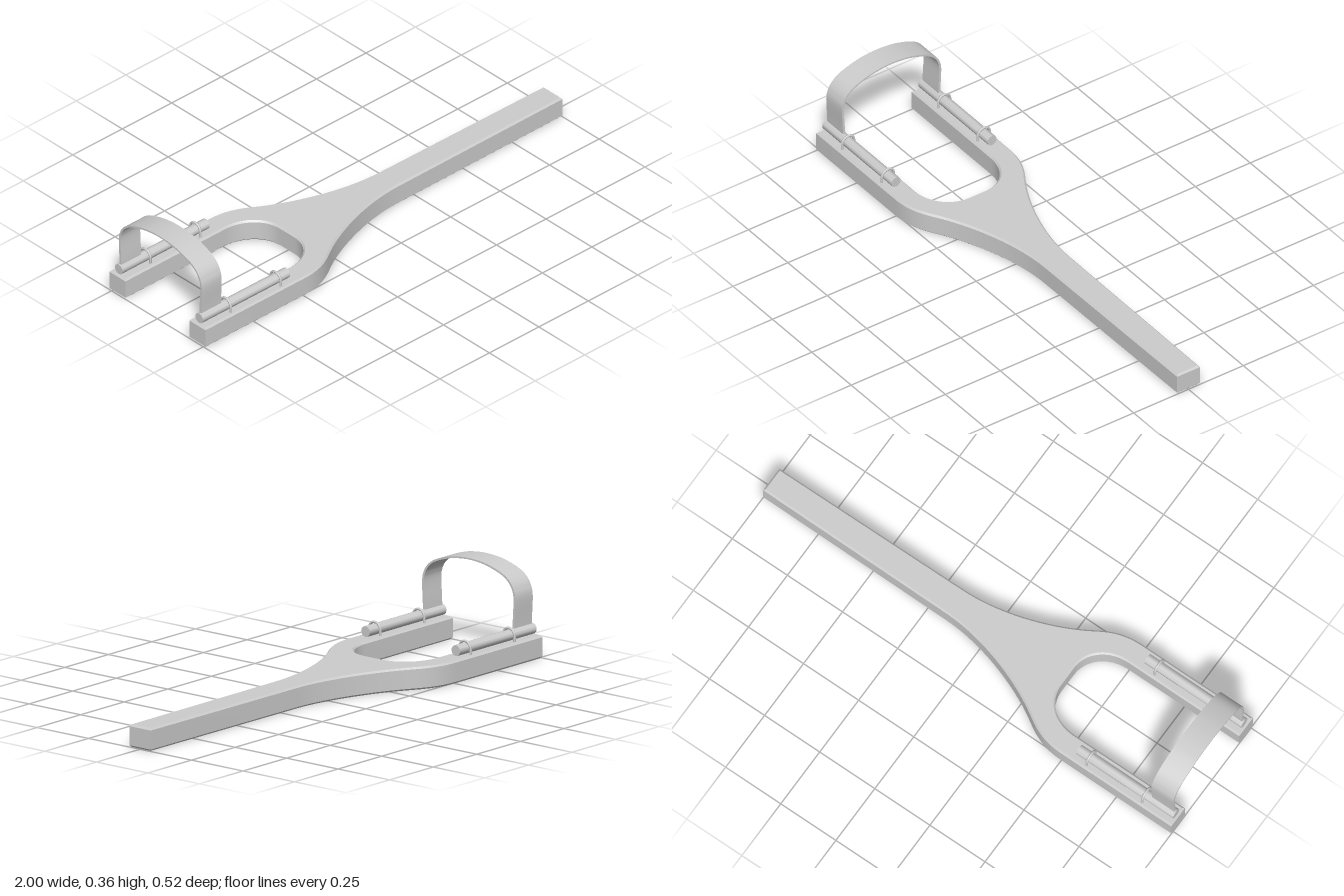
import * as THREE from 'three';
import { toCreasedNormals } from 'three/addons/utils/BufferGeometryUtils.js';

const material = new THREE.MeshStandardMaterial({ color: 0xcccccc });

function addMesh(parent, name, geometry) {
  const mesh = new THREE.Mesh(geometry, material);
  mesh.name = name;
  parent.add(mesh);
  return mesh;
}

// Forked frame: a Y-shaped plate with softened edges, lying flat
function frameGeometry() {
  const height = 0.087, bevel = 0.007;
  const s = new THREE.Shape();
  s.moveTo(-1, 0.262);
  s.lineTo(-0.5, 0.262);
  s.bezierCurveTo(-0.42, 0.262, -0.37, 0.237, -0.32, 0.205);
  s.bezierCurveTo(-0.22, 0.14, -0.02, 0.057, 0.17, 0.057);
  s.lineTo(1, 0.052);
  s.lineTo(1, -0.052);
  s.lineTo(0.17, -0.057);
  s.bezierCurveTo(-0.02, -0.057, -0.22, -0.14, -0.32, -0.205);
  s.bezierCurveTo(-0.37, -0.237, -0.42, -0.262, -0.5, -0.262);
  s.lineTo(-1, -0.262);
  s.lineTo(-1, -0.174);
  s.lineTo(-0.5, -0.174);
  s.bezierCurveTo(-0.41, -0.174, -0.345, -0.115, -0.345, -0.04);
  s.lineTo(-0.345, 0.04);
  s.bezierCurveTo(-0.345, 0.115, -0.41, 0.174, -0.5, 0.174);
  s.lineTo(-1, 0.174);
  s.closePath();
  const g = new THREE.ExtrudeGeometry(s, {
    depth: height - 2 * bevel, curveSegments: 16, bevelEnabled: true,
    bevelSize: bevel, bevelThickness: bevel, bevelOffset: -bevel, bevelSegments: 1,
  });
  g.rotateX(-Math.PI / 2).translate(0, bevel, 0);
  return toCreasedNormals(g, 0.5);
}

// Elastic band: a thin arched ribbon joining the two rods
function bandGeometry() {
  const half = [[0.217, 0.11], [0.2185, 0.16], [0.222, 0.235], [0.216, 0.27], [0.198, 0.3],
    [0.164, 0.325], [0.1, 0.347], [0.05, 0.356]];
  const points = [...half, [0, 0.359], ...half.map(([z, y]) => [-z, y]).reverse()];
  const path = new THREE.SplineCurve(points.map(([z, y]) => new THREE.Vector2(z, y)));
  const outer = [], inner = [];
  for (let i = 0; i <= 64; i++) {
    const p = path.getPoint(i / 64), t = path.getTangent(i / 64);
    const w = 0.003 + 0.002 * Math.abs(i / 32 - 1);
    outer.push(new THREE.Vector2(p.x + t.y * w, p.y - t.x * w));
    inner.unshift(new THREE.Vector2(p.x - t.y * w, p.y + t.x * w));
  }
  const g = new THREE.ExtrudeGeometry(new THREE.Shape([...outer, ...inner]),
    { depth: 0.1, bevelEnabled: false });
  g.rotateY(Math.PI / 2).translate(-0.985, 0, 0);
  return toCreasedNormals(g, 0.6);
}

// Staple: a round wire arch standing on the prong
function stapleGeometry() {
  const r = 0.027, pts = [new THREE.Vector3(0, -0.03, r)];
  for (let i = 0; i <= 12; i++) {
    const a = (i / 12) * Math.PI;
    pts.push(new THREE.Vector3(0, r * Math.sin(a), r * Math.cos(a)));
  }
  pts.push(new THREE.Vector3(0, -0.03, -r));
  return new THREE.TubeGeometry(new THREE.CatmullRomCurve3(pts), 40, 0.005, 10);
}

export function createModel() {
  const model = new THREE.Group();
  model.name = 'slingshot';
  addMesh(model, 'forkedFrame', frameGeometry());
  addMesh(model, 'elasticBand', bandGeometry());

  // Rod and its two staples on each prong
  const rod = toCreasedNormals(
    new THREE.CylinderGeometry(0.021, 0.021, 0.44, 12).rotateZ(Math.PI / 2), 0.6);
  const staple = stapleGeometry();
  for (const side of [1, -1]) {
    const fixing = new THREE.Group();
    fixing.name = side > 0 ? 'frontFixing' : 'backFixing';
    fixing.position.set(0, 0.109, side * 0.219);
    model.add(fixing);
    addMesh(fixing, 'rod', rod).position.x = -0.772;
    for (const x of [-0.857, -0.605]) addMesh(fixing, 'staple', staple).position.x = x;
  }
  return model;
}
